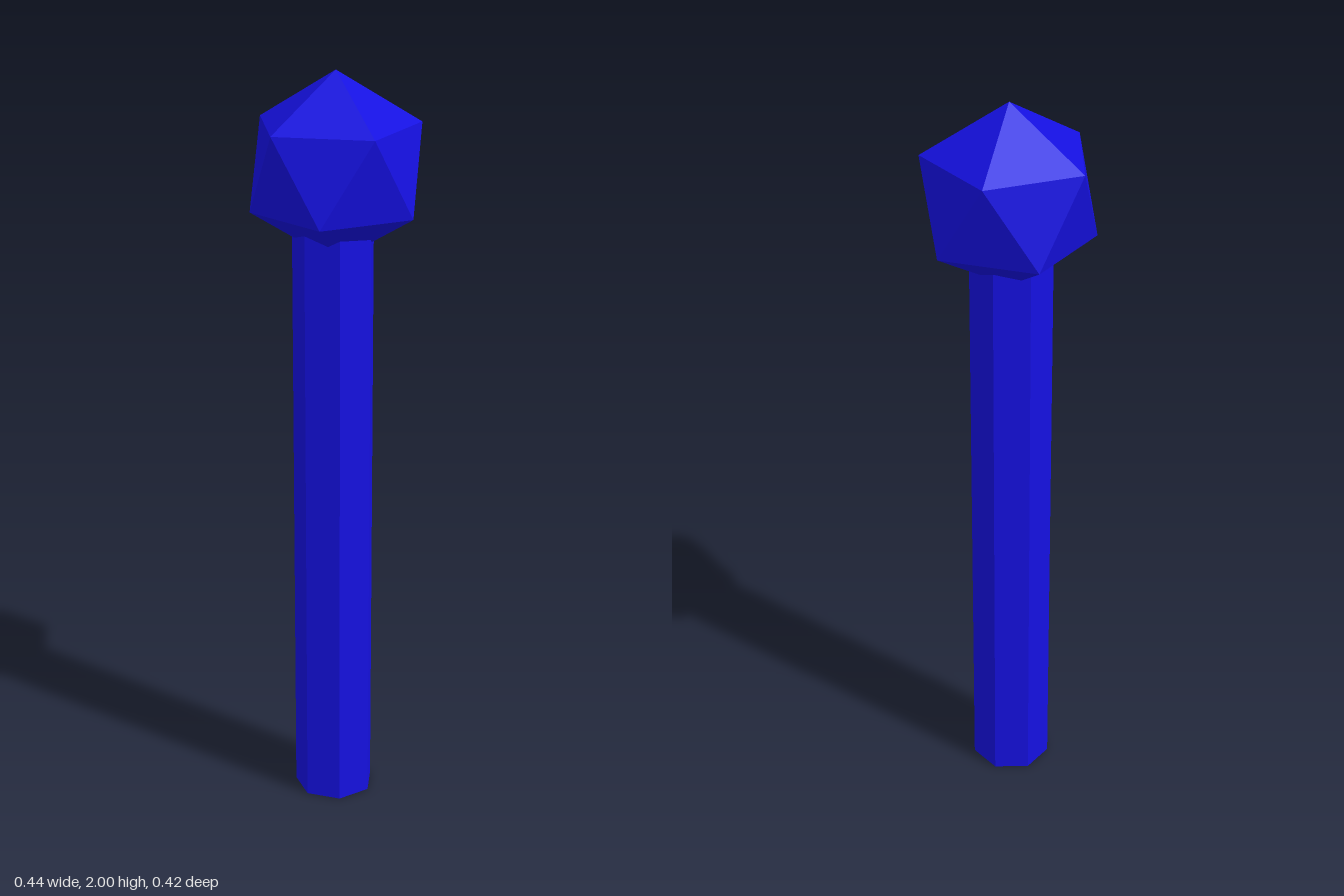
import * as THREE from 'three';

export function createModel() {
  const group = new THREE.Group();
  const material = new THREE.MeshStandardMaterial({ color: 0x1510e0, flatShading: true });

  const add = (name, geometry, x, y, z) => {
    const mesh = new THREE.Mesh(geometry, material);
    mesh.name = name;
    mesh.position.set(x, y, z);
    group.add(mesh);
  };

  // Seven-sided shaft, slightly off centre, its top sunk into the head
  const shaftHeight = 1.65;
  add('shaft', new THREE.CylinderGeometry(0.108, 0.108, shaftHeight, 7), -0.005, shaftHeight / 2, 0.008);

  // Icosahedron head, turned to stand on one corner with an upper corner toward +x
  const radius = 0.245;
  const head = new THREE.IcosahedronGeometry(radius, 0);
  head.rotateX(-Math.atan((1 + Math.sqrt(5)) / 2));
  head.rotateY(Math.PI / 2);
  add('head', head, 0, 2 - radius, 0);

  return group;
}
